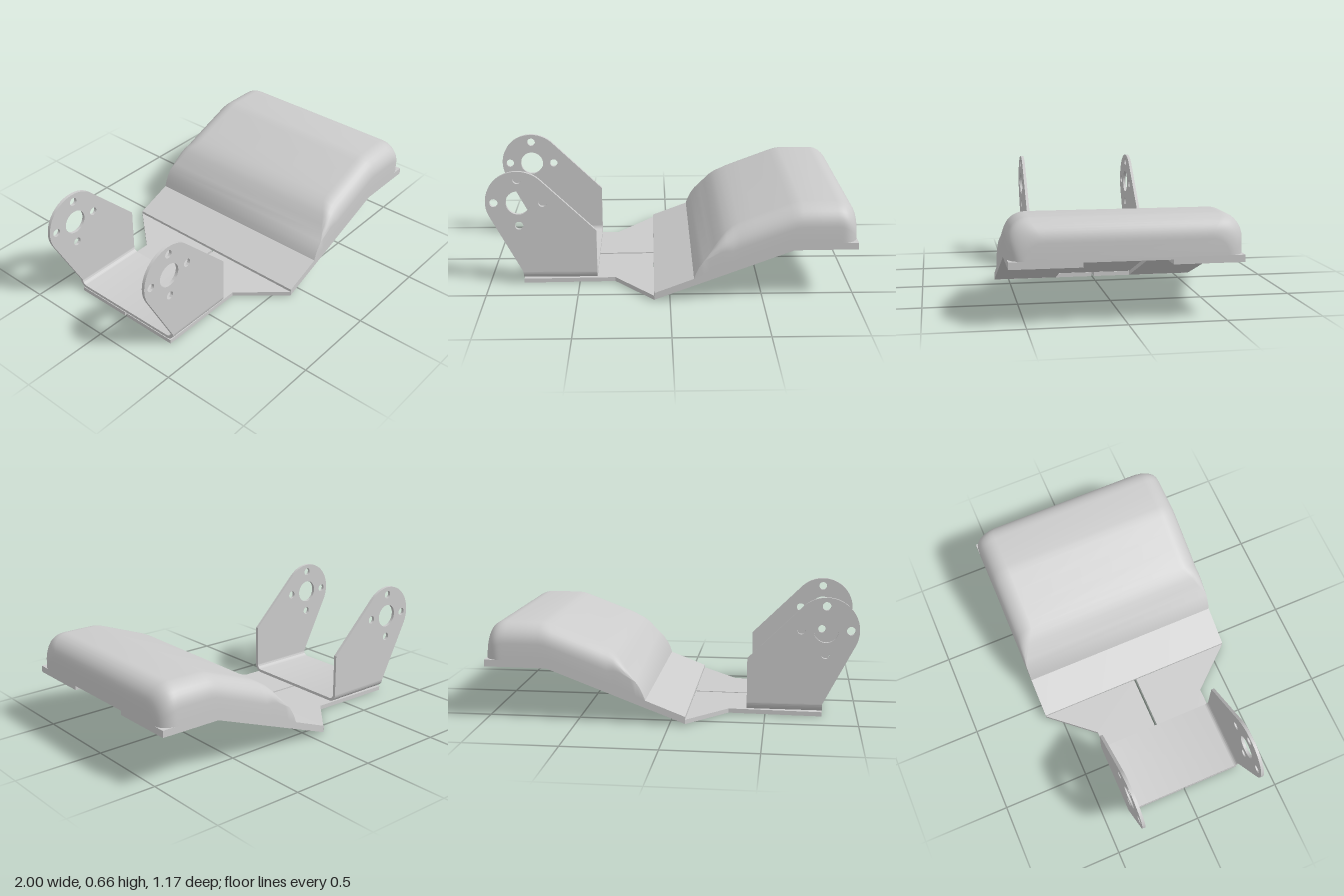
import * as THREE from 'three';
import { toCreasedNormals } from 'three/addons/utils/BufferGeometryUtils.js';

const material = new THREE.MeshStandardMaterial({ color: 0xcccccc });

function part(name, geometry, crease = 0.6) {
  const mesh = new THREE.Mesh(toCreasedNormals(geometry, crease), material);
  mesh.name = name;
  return mesh;
}

function shapeOf(points) {
  return new THREE.Shape(points.map(([x, y]) => new THREE.Vector2(x, y)));
}

function extrude(shape, depth) {
  return new THREE.ExtrudeGeometry(shape, { depth, bevelEnabled: false, curveSegments: 24 });
}

const HALF = 0.585; // half width of pad and ramp
const rampTop = x => Math.min(0.33, 0.047 + 0.386 * (x + 0.085));

// Flat base plate: two mirrored halves with a narrow slot between them
function basePlate() {
  const group = new THREE.Group();
  group.name = 'basePlate';
  for (const s of [1, -1]) {
    const outline = [[-0.81, 0.007], [-0.085, 0.007], [-0.085, HALF], [-0.3, 0.337], [-0.81, 0.337]];
    const g = extrude(shapeOf(outline.map(([x, z]) => [x, z * s])), 0.024);
    g.rotateX(Math.PI / 2).translate(0.81, 0.024, 0).rotateZ(0.01).translate(-0.81, 0, 0);
    group.add(part(s > 0 ? 'plateHalfFront' : 'plateHalfBack', g));
  }
  return group;
}

// Inclined plate under the pad; its middle strip is recessed from below
function ramp() {
  const group = new THREE.Group();
  group.name = 'ramp';
  const strip = (name, z0, z1, lift) => {
    const shape = shapeOf([
      [-0.085, 0.008 + lift], [0.66, 0.29 + lift], [1, 0.293 + lift],
      [1, 0.33], [0.648, 0.33], [-0.085, 0.047],
    ]);
    group.add(part(name, extrude(shape, z1 - z0).translate(0, 0, z0), 0.1));
  };
  strip('rampSideBack', -HALF, -0.222, 0);
  strip('rampRecess', -0.222, 0.222, 0.024);
  strip('rampSideFront', 0.222, HALF, 0);
  return group;
}

// Rounded pad: cross-sections lofted along x
function pad() {
  const profile = [
    [0.128, 0.13], [0.138, 0.16], [0.155, 0.195], [0.18, 0.232], [0.21, 0.268], [0.24, 0.305],
    [0.27, 0.342], [0.3, 0.37], [0.335, 0.393], [0.37, 0.411], [0.45, 0.442], [0.55, 0.48],
    [0.64, 0.514], [0.67, 0.524], [0.7, 0.529], [0.8, 0.53],
  ];
  for (let i = 0; i <= 12; i++) {
    const a = (i / 12) * Math.PI / 2;
    profile.push([0.885 + 0.115 * Math.sin(a), 0.415 + 0.115 * Math.cos(a)]);
  }
  const N = 8, ring = 2 * (N + 1) + 2, pos = [], idx = [];
  for (const [x, top] of profile) {
    const low = Math.min(rampTop(x), top);
    const dx = Math.max(0, x - 0.92);
    const w = HALF - 0.08 + Math.sqrt(Math.max(0, 0.0064 - dx * dx));
    const r = Math.min(0.11 * THREE.MathUtils.clamp((x - 0.18) / 0.16, 0.001, 1), top - low);
    pos.push(x, low, w);
    for (const s of [1, -1]) {
      for (let k = 0; k <= N; k++) {
        const a = ((s > 0 ? k : N - k) / N) * Math.PI / 2;
        pos.push(x, top - r + r * Math.sin(a), s * (w - r + r * Math.cos(a)));
      }
    }
    pos.push(x, low, -w);
  }
  for (let i = 0; i < profile.length - 1; i++) {
    for (let j = 0; j < ring; j++) {
      const a = i * ring + j, b = i * ring + (j + 1) % ring;
      idx.push(a, a + ring, b, b, a + ring, b + ring);
    }
  }
  const end = (profile.length - 1) * ring;
  for (let j = 1; j < ring - 1; j++) idx.push(end, end + j + 1, end + j);
  const g = new THREE.BufferGeometry();
  g.setAttribute('position', new THREE.Float32BufferAttribute(pos, 3));
  g.setIndex(idx);
  return part('pad', g, 0.7);
}

// U-shaped sheet bracket with two drilled ears
function bracket() {
  const group = new THREE.Group();
  group.name = 'bracket';
  const T = 0.017, Z = 0.357, Y = 0.029, R = 0.046, TOP = Y + R;

  // Floor with bent edges
  const bend = new THREE.Shape();
  bend.moveTo(-Z, TOP);
  bend.absarc(-Z + R, TOP, R, Math.PI, 1.5 * Math.PI, false);
  bend.absarc(Z - R, TOP, R, 1.5 * Math.PI, 2 * Math.PI, false);
  bend.lineTo(Z - T, TOP);
  bend.absarc(Z - R, TOP, R - T, 0, -Math.PI / 2, true);
  bend.absarc(-Z + R, TOP, R - T, -Math.PI / 2, -Math.PI, true);
  bend.closePath();
  group.add(part('bracketFloor', extrude(bend, 0.41).rotateY(-Math.PI / 2).translate(-0.4, 0, 0)));

  // Ear outline: round head tangent to two straight flanks
  const cx = -0.82, cy = 0.484, r = 0.178;
  const ear = new THREE.Shape();
  ear.moveTo(-0.81, TOP);
  ear.lineTo(-0.4, TOP);
  ear.lineTo(-0.4, 0.32);
  ear.absarc(cx, cy, r, 0.79, 3.615, false);
  ear.closePath();
  const drill = (x, y, radius) => ear.holes.push(new THREE.Path().absarc(x, y, radius, 0, Math.PI * 2, true));
  drill(cx, cy, 0.067);
  for (let i = 0; i < 4; i++) {
    const a = i * Math.PI / 2;
    drill(cx + 0.132 * Math.cos(a), cy + 0.132 * Math.sin(a), 0.023);
  }
  for (const s of [1, -1]) {
    group.add(part(s > 0 ? 'earFront' : 'earBack', extrude(ear, T).translate(0, 0, s > 0 ? Z - T : -Z)));
  }
  return group;
}

export function createModel() {
  const model = new THREE.Group();
  model.name = 'padBracket';
  model.add(basePlate(), ramp(), pad(), bracket());
  return model;
}
